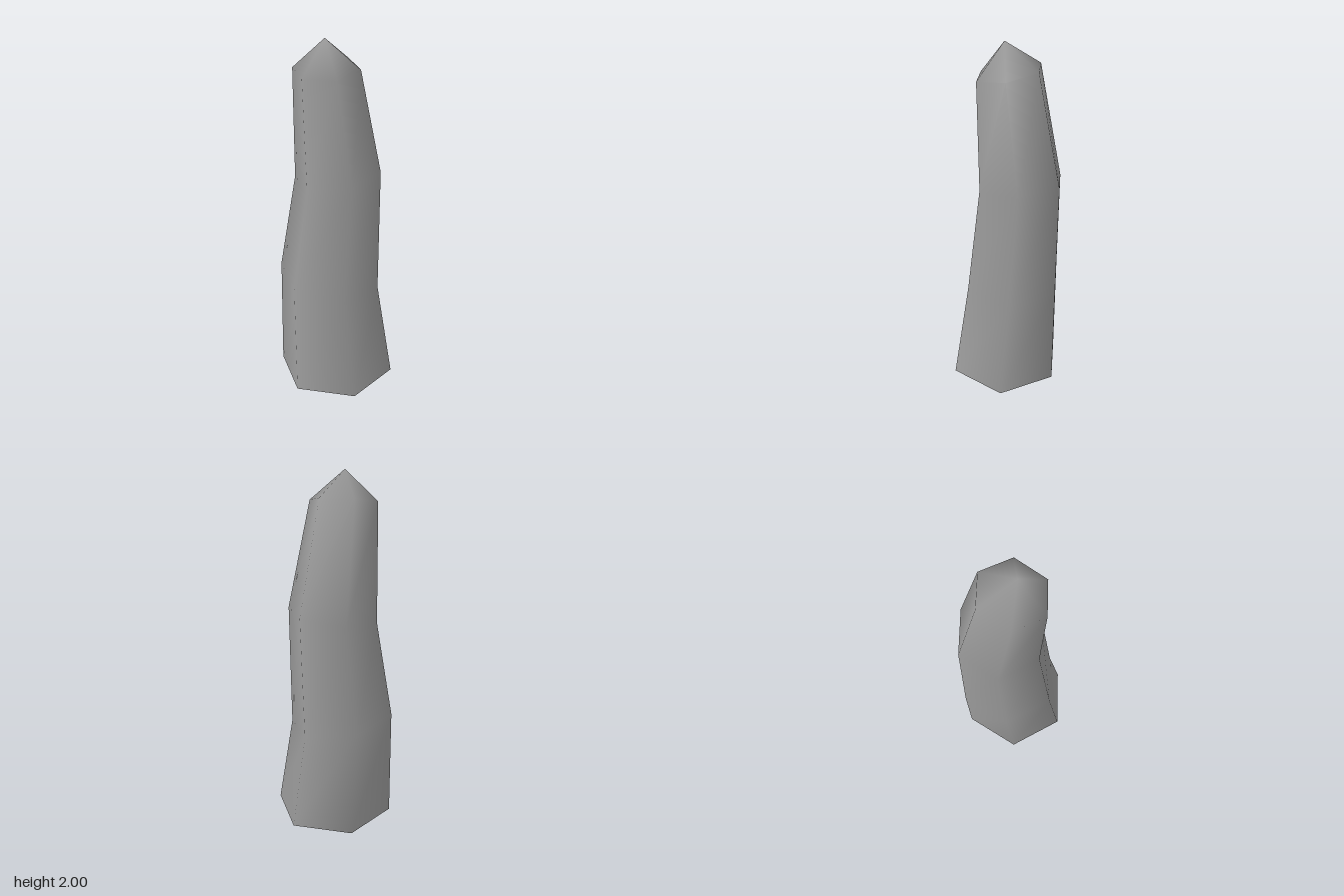
import * as THREE from 'three';
import { mergeVertices } from 'three/addons/utils/BufferGeometryUtils.js';

const SIDES = 6;

// Smooth six-sided skin through rings, from bottom to top.
// Each ring: centre x, y, z, radius, and its tilt along x and z.
function skin(rings) {
  const positions = [], index = [];
  for (const [x, y, z, r, tiltX = 0, tiltZ = 0] of rings) {
    for (let j = 0; j < SIDES; j++) {
      const a = (j / SIDES) * Math.PI * 2;
      const dx = r * Math.cos(a), dz = r * Math.sin(a);
      positions.push(x + dx, y + tiltX * dx + tiltZ * dz, z + dz);
    }
  }
  for (let i = 0; i < rings.length - 1; i++) {
    for (let j = 0; j < SIDES; j++) {
      const a = i * SIDES + j, b = i * SIDES + (j + 1) % SIDES;
      const c = a + SIDES, d = b + SIDES;
      if (rings[i][3] > 0) index.push(a, c, b);
      if (rings[i + 1][3] > 0) index.push(b, c, d);
    }
  }
  const geometry = new THREE.BufferGeometry();
  geometry.setAttribute('position', new THREE.Float32BufferAttribute(positions, 3));
  geometry.setIndex(index);
  const merged = mergeVertices(geometry); // joins the collapsed tip rings
  merged.computeVertexNormals();
  return merged;
}

export function createModel() {
  const group = new THREE.Group();
  group.name = 'crookedPillar';
  const material = new THREE.MeshStandardMaterial({ color: 0x999999 });
  const add = (name, rings) => {
    const mesh = new THREE.Mesh(skin(rings), material);
    mesh.name = name;
    group.add(mesh);
  };

  // Leaning shaft with a pointed tip
  add('shaft', [
    [0, 0.065, 0, 0.335],
    [-0.05, 0.65, -0.04, 0.286, -0.17, 0],
    [-0.01, 1.26, -0.08, 0.24, 0.12, -0.07],
    [-0.053, 1.846, -0.011, 0.178, 0, -0.175],
    [-0.055, 2, 0.012, 0],
  ]);

  // Chamfered underside with a flat closed bottom
  add('base', [
    [0, 0, 0, 0],
    [0, 0, 0, 0.16],
    [0, 0.065, 0, 0.335],
  ]);

  return group;
}
